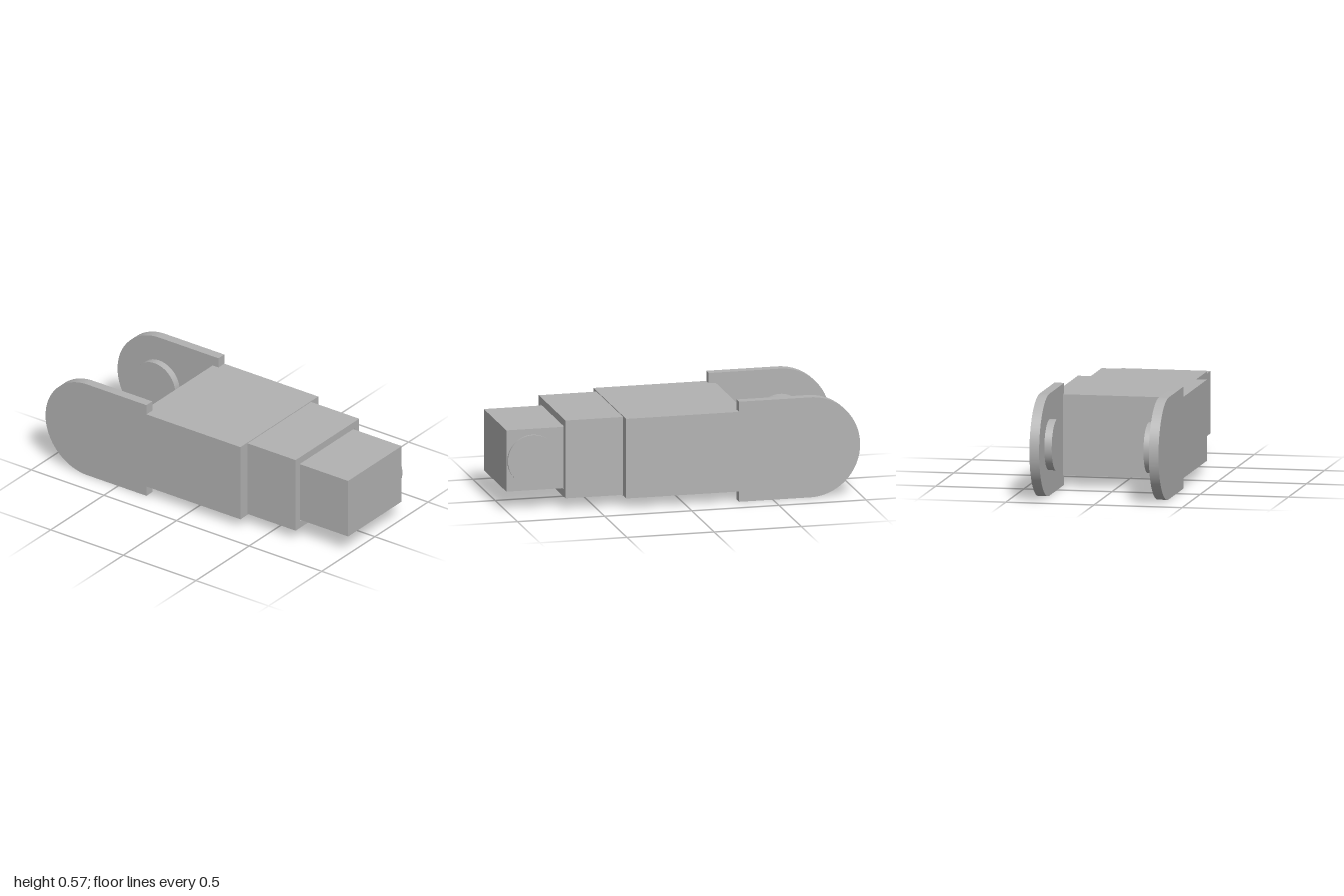
import * as THREE from 'three';
import { toCreasedNormals } from 'three/addons/utils/BufferGeometryUtils.js';

const MID_Y = 0.287;

export function createModel() {
  const model = new THREE.Group();
  model.name = 'telescopicClevisLink';
  const grey = new THREE.MeshStandardMaterial({ color: 0xb2b2b2 });
  grey.name = 'plainGrey';

  const add = (name, geometry, x = 0, y = 0, z = 0) => {
    const mesh = new THREE.Mesh(geometry, grey);
    mesh.name = name;
    mesh.position.set(x, y, z);
    model.add(mesh);
    return mesh;
  };
  const extrude = (shape, depth) =>
    toCreasedNormals(new THREE.ExtrudeGeometry(shape, { depth, bevelEnabled: false, curveSegments: 48 }), 0.5);
  const rect = (Type, w, h) =>
    new Type([[-w, -h], [w, -h], [w, h], [-w, h]].map(([x, y]) => new THREE.Vector2(x / 2, y / 2)));
  const disc = (name, radius, depth, x, z) =>
    add(name, new THREE.CylinderGeometry(radius, radius, depth, 64).rotateX(Math.PI / 2), x, MID_Y, z);

  // Main block: plan outline with a narrower tongue between the cheeks
  const plan = new THREE.Shape([
    [-0.345, -0.311], [-0.305, -0.311], [-0.305, -0.366], [0.342, -0.366],
    [0.342, 0.366], [-0.305, 0.366], [-0.305, 0.311], [-0.345, 0.311],
  ].map(([x, y]) => new THREE.Vector2(x, y)));
  add('mainBlock', extrude(plan, 0.456).rotateX(-Math.PI / 2), 0, 0.059, 0);

  // Round-ended cheek plates
  const cheek = new THREE.Shape();
  cheek.moveTo(-0.305, 0);
  cheek.lineTo(-0.305, 0.573);
  cheek.lineTo(-0.7135, 0.573);
  cheek.absarc(-0.7135, 0.2865, 0.2865, Math.PI / 2, Math.PI * 1.5, false);
  cheek.closePath();
  const cheekGeometry = extrude(cheek, 0.055);
  add('frontCheek', cheekGeometry, 0, 0, 0.311);
  add('backCheek', cheekGeometry, 0, 0, -0.366);

  // Pivot bosses on the inside of the cheeks
  disc('frontPivotBoss', 0.142, 0.06, -0.714, 0.281);
  disc('backPivotBoss', 0.142, 0.042, -0.714, -0.29);

  // Middle sleeve with a slightly oversized opening
  const section = rect(THREE.Shape, 0.598, 0.446);
  section.holes.push(rect(THREE.Path, 0.516, 0.363));
  add('middleSleeve', extrude(section, 0.331).rotateY(Math.PI / 2), 0.342, MID_Y, 0);

  // Sliding end block and its side button
  add('endBlock', new THREE.BoxGeometry(0.658, 0.351, 0.504), 0.671, MID_Y, 0);
  disc('sideButton', 0.142, 0.014, 0.853, -0.259);

  return model;
}
